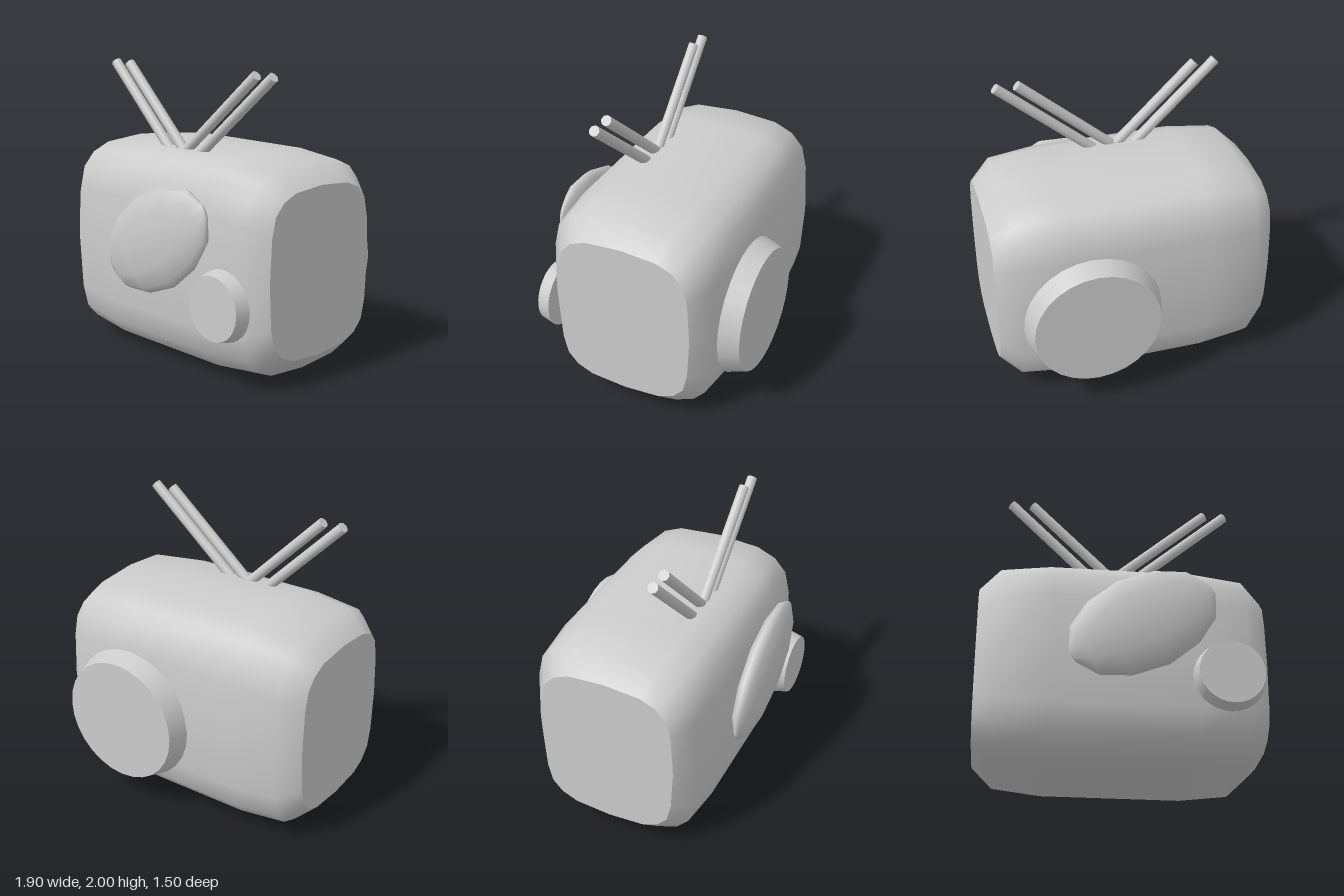
import * as THREE from 'three';

const grey = new THREE.MeshStandardMaterial({ color: 0xcccccc });
grey.name = 'plain grey';

function add(group, name, geometry) {
  const mesh = new THREE.Mesh(geometry, grey);
  mesh.name = name;
  group.add(mesh);
  return mesh;
}

// Rounded-box cross-section as [y, z], mirrored from one quarter
function bodyRing() {
  const quarter = [[0.73, 0], [0.705, 0.32], [0.645, 0.46], [0.545, 0.55], [0.375, 0.59], [0, 0.61]];
  const half = [...quarter, ...quarter.slice(0, -1).reverse().map(([y, z]) => [-y, z])];
  return [...half, ...half.slice(1, -1).reverse().map(([y, z]) => [y, -z])];
}

// Stations along the body: x, height scale, depth scale
const stations = [
  [-0.95, 0.772, 0.785], [-0.81, 0.95, 0.955], [-0.48, 1, 1],
  [0.48, 1, 1], [0.81, 0.95, 0.955], [0.95, 0.772, 0.785],
];

function buffer(pos, index) {
  const g = new THREE.BufferGeometry();
  g.setAttribute('position', new THREE.Float32BufferAttribute(pos, 3));
  g.setIndex(index);
  g.computeVertexNormals();
  return g;
}

function shellGeometry(ring) {
  const pos = [], index = [], n = ring.length;
  for (const [x, sy, sz] of stations) for (const [y, z] of ring) pos.push(x, y * sy, z * sz);
  for (let i = 0; i < stations.length - 1; i++) {
    for (let j = 0; j < n; j++) {
      const a = i * n + j, b = i * n + (j + 1) % n;
      index.push(a, b, a + n, b, b + n, a + n);
    }
  }
  return buffer(pos, index);
}

function capGeometry(ring, [x, sy, sz]) {
  const pos = [x, 0, 0], index = [], n = ring.length;
  for (const [y, z] of ring) pos.push(x, y * sy, z * sz);
  for (let j = 0; j < n; j++) {
    const a = 1 + j, b = 1 + (j + 1) % n;
    index.push(0, ...(x > 0 ? [a, b] : [b, a]));
  }
  return buffer(pos, index);
}

// Tapered disc lying along z
function disc(group, name, x, y, z0, z1, r0, r1) {
  const front = z1 > z0;
  const g = new THREE.CylinderGeometry(r1, r0, Math.abs(z1 - z0), 28);
  g.rotateX(front ? Math.PI / 2 : -Math.PI / 2);
  add(group, name, g).position.set(x, y, (z0 + z1) / 2);
}

// Straight rod between two points in the antenna plane
function rod(group, name, x0, y0, x1, y1) {
  const dir = new THREE.Vector3(x1 - x0, y1 - y0, 0);
  const mesh = add(group, name, new THREE.CylinderGeometry(0.036, 0.036, dir.length(), 8));
  mesh.position.set((x0 + x1) / 2, (y0 + y1) / 2, 0.245);
  mesh.quaternion.setFromUnitVectors(new THREE.Vector3(0, 1, 0), dir.normalize());
}

export function createModel() {
  const model = new THREE.Group();
  model.name = 'television';

  // Cabinet with flat ends
  const body = new THREE.Group();
  body.name = 'cabinet';
  body.position.set(0, 0.73, -0.01);
  const ring = bodyRing();
  add(body, 'cabinetShell', shellGeometry(ring));
  add(body, 'rightEnd', capGeometry(ring, stations[0]));
  add(body, 'leftEnd', capGeometry(ring, stations[5]));
  model.add(body);

  // Bulging, tilted oval screen
  const profile = [[0, -0.525], [0.05, -0.522], [0.19, -0.435], [0.29, -0.25], [0.332, 0],
    [0.29, 0.25], [0.19, 0.435], [0.05, 0.522], [0, 0.525]].map(([r, h]) => new THREE.Vector2(r, h));
  const oval = new THREE.LatheGeometry(profile, 12);
  oval.rotateZ(-Math.PI / 2);
  oval.scale(1, 1, 0.3);
  oval.rotateZ(Math.PI / 6);
  add(model, 'screen', oval).position.set(0.11, 0.9, 0.648);

  // Front knob and rear housing
  disc(model, 'knob', 0.668, 0.567, 0.595, 0.69, 0.235, 0.212);
  disc(model, 'rearHousing', 0.334, 0.65, -0.615, -0.75, 0.472, 0.428);

  // Two pairs of antenna rods
  const antenna = new THREE.Group();
  antenna.name = 'antenna';
  rod(antenna, 'rightOuterRod', -0.18, 1.4, -0.76, 1.974);
  rod(antenna, 'rightInnerRod', -0.033, 1.4, -0.613, 1.974);
  rod(antenna, 'leftInnerRod', -0.06, 1.4, 0.61, 1.972);
  rod(antenna, 'leftOuterRod', 0.083, 1.4, 0.755, 1.972);
  model.add(antenna);

  return model;
}
